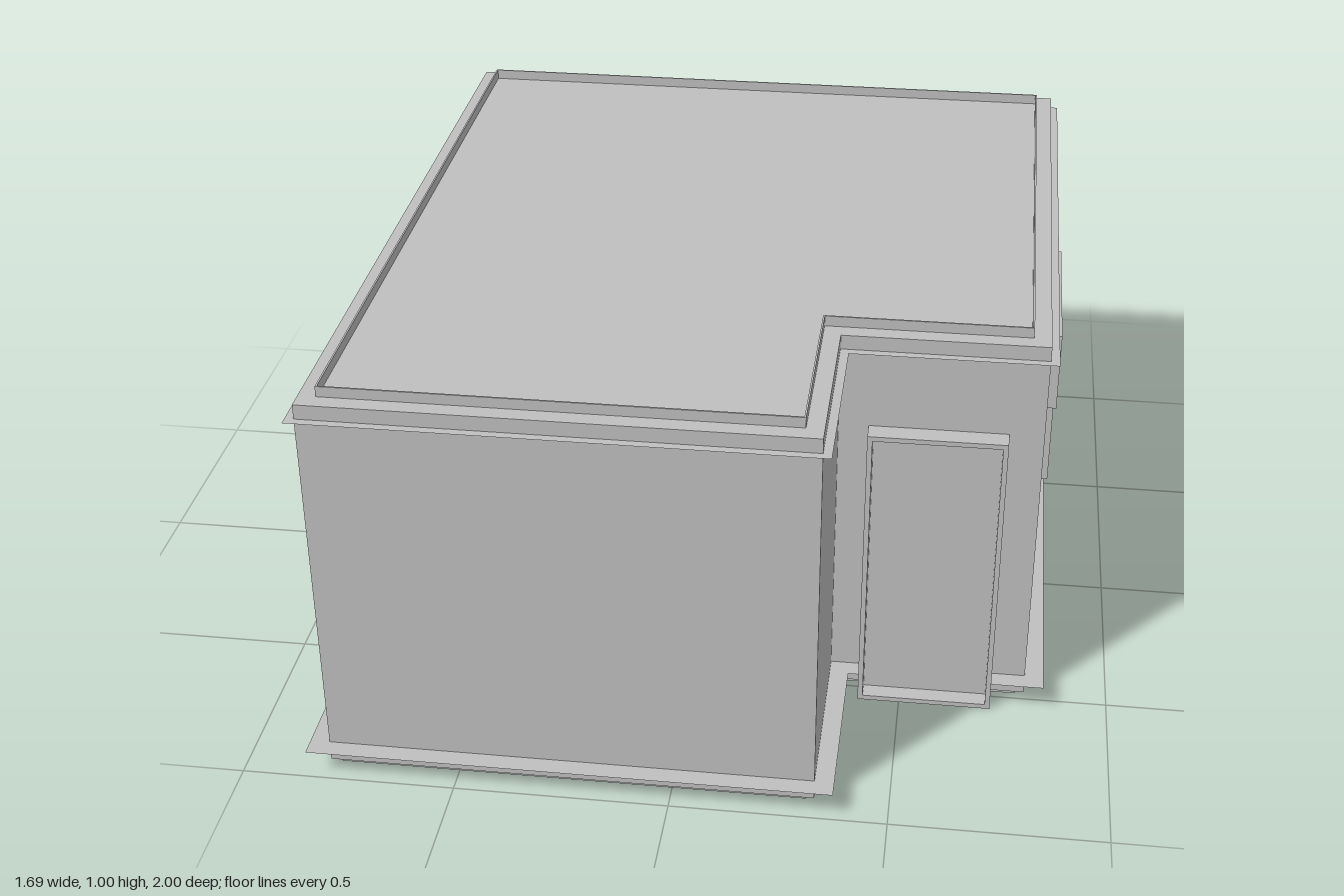
import * as THREE from 'three';

// L-shaped plan grown outwards by d, as [x, z] corners, starting at the inner corner
const plan = (d) => [
  [0.33 + d, 0.5 + d], [0.33 + d, 0.955 + d], [-0.8 - d, 0.955 + d],
  [-0.8 - d, -0.955 - d], [0.8 + d, -0.955 - d], [0.8 + d, 0.5 + d],
];
const toV = (pts) => pts.map(([x, z]) => new THREE.Vector2(x, -z));

export function createModel() {
  const model = new THREE.Group();
  const grey = new THREE.MeshStandardMaterial({ color: 0xbfbfbf, side: THREE.DoubleSide });

  const add = (name, geo, y = 0, parent = model) => {
    const mesh = new THREE.Mesh(geo, grey);
    mesh.name = name;
    mesh.position.y = y;
    parent.add(mesh);
    return mesh;
  };
  const shapeOf = (outer, hole) => {
    const s = new THREE.Shape(toV(outer));
    if (hole) s.holes.push(new THREE.Path(toV(hole)));
    return s;
  };
  const slab = (shape, h) =>
    new THREE.ExtrudeGeometry(shape, { depth: h, bevelEnabled: false }).rotateX(-Math.PI / 2);
  const sheet = (shape) => new THREE.ShapeGeometry(shape).rotateX(-Math.PI / 2);

  // Building body: inset plinth, walls with flat roof, thin roof rim
  add('plinth', slab(shapeOf(plan(-0.02)), 0.02));
  add('walls', slab(shapeOf(plan(0)), 0.955), 0.02);
  add('roofRim', slab(shapeOf(plan(-0.04), plan(-0.044)), 0.025), 0.975);

  // Thin ledges: one under the roof, one at the foot, open at the doorway
  add('corniceLedge', sheet(shapeOf(plan(0.02), plan(0))), 0.94);
  const run = (d) => [[0.4, 0.5 + d], ...plan(d), [0.72, 0.5 + d]];
  add('footLedge', sheet(shapeOf([...run(0.045), ...run(0).reverse()])), 0.07);

  // Rectangular frame in the xy plane, standing out along +z
  const frame = (w, h, t, depth) => {
    const rect = (a, b) => [[-a, -b], [a, -b], [a, b], [-a, b]].map(([x, y]) => new THREE.Vector2(x, y));
    const s = new THREE.Shape(rect(w / 2, h / 2));
    s.holes.push(new THREE.Path(rect(w / 2 - t, h / 2 - t)));
    return new THREE.ExtrudeGeometry(s, { depth, bevelEnabled: false });
  };

  // Door in the recessed corner
  const door = new THREE.Group();
  door.name = 'door';
  door.position.set(0.56, 0, 0.5);
  add('doorFrame', frame(0.32, 0.745, 0.012, 0.05), 0.3725, door);
  add('doorPanel', new THREE.BoxGeometry(0.3, 0.73, 0.008), 0.3725, door).position.z = 0.004;
  model.add(door);

  // Two-sash windows, the upper sash standing out slightly more
  const addWindow = (name, x, z, turn, w) => {
    const g = new THREE.Group();
    g.name = name;
    g.position.set(x, 0, z);
    g.rotation.y = turn;
    add('upperSash', frame(w, 0.205, 0.012, 0.043), 0.6425, g);
    add('lowerSash', frame(w - 0.02, 0.215, 0.012, 0.036), 0.4325, g);
    add('windowPane', new THREE.BoxGeometry(w - 0.03, 0.4, 0.006), 0.535, g).position.z = 0.003;
    model.add(g);
  };
  addWindow('sideWindow', 0.8, -0.225, Math.PI / 2, 0.475);
  addWindow('backWindow', -0.05, -0.955, Math.PI, 0.5);

  return model;
}
